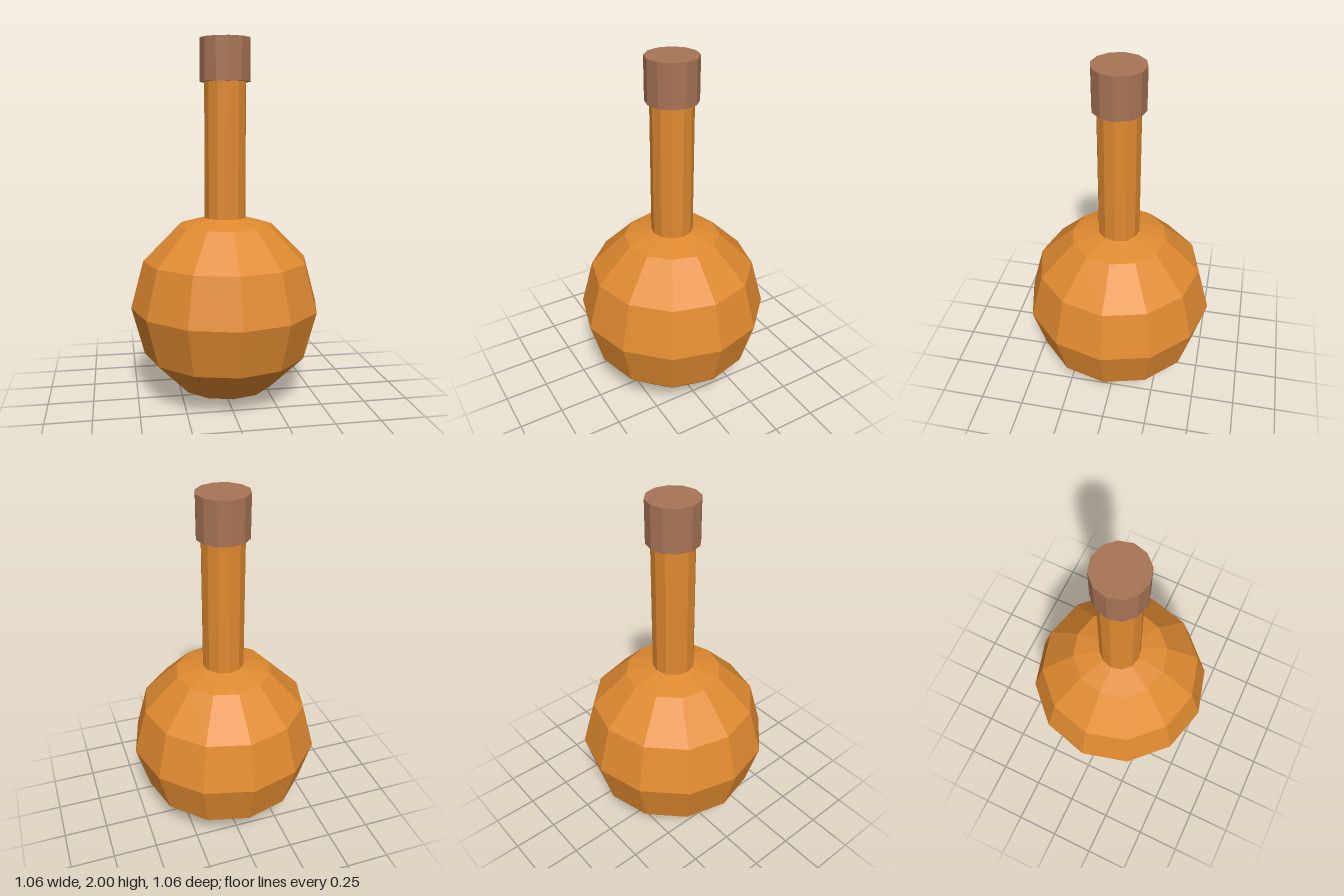
import * as THREE from 'three';

const SIDES = 12;

export function createModel() {
  const model = new THREE.Group();
  model.name = 'flask';

  const amber = new THREE.MeshStandardMaterial({ color: 0xe08a30 });
  amber.name = 'amber glass';
  const cork = new THREE.MeshStandardMaterial({ color: 0xa87456 });
  cork.name = 'brown cork';
  amber.flatShading = cork.flatShading = true;

  const add = (name, geometry, material, y) => {
    const mesh = new THREE.Mesh(geometry, material);
    mesh.name = name;
    mesh.position.y = y;
    model.add(mesh);
  };
  // Upright prism between two heights
  const addPrism = (name, radius, bottom, top, material) =>
    add(name, new THREE.CylinderGeometry(radius, radius, top - bottom, SIDES), material, (bottom + top) / 2);

  // Round faceted bulb, with the neck sunk into its top
  add('bulb', new THREE.SphereGeometry(0.53, SIDES, 6), amber, 0.53);
  addPrism('neck', 0.115, 0.98, 1.8, amber);
  // Stopper wider than the neck
  addPrism('stopper', 0.14, 1.77, 2, cork);

  return model;
}
